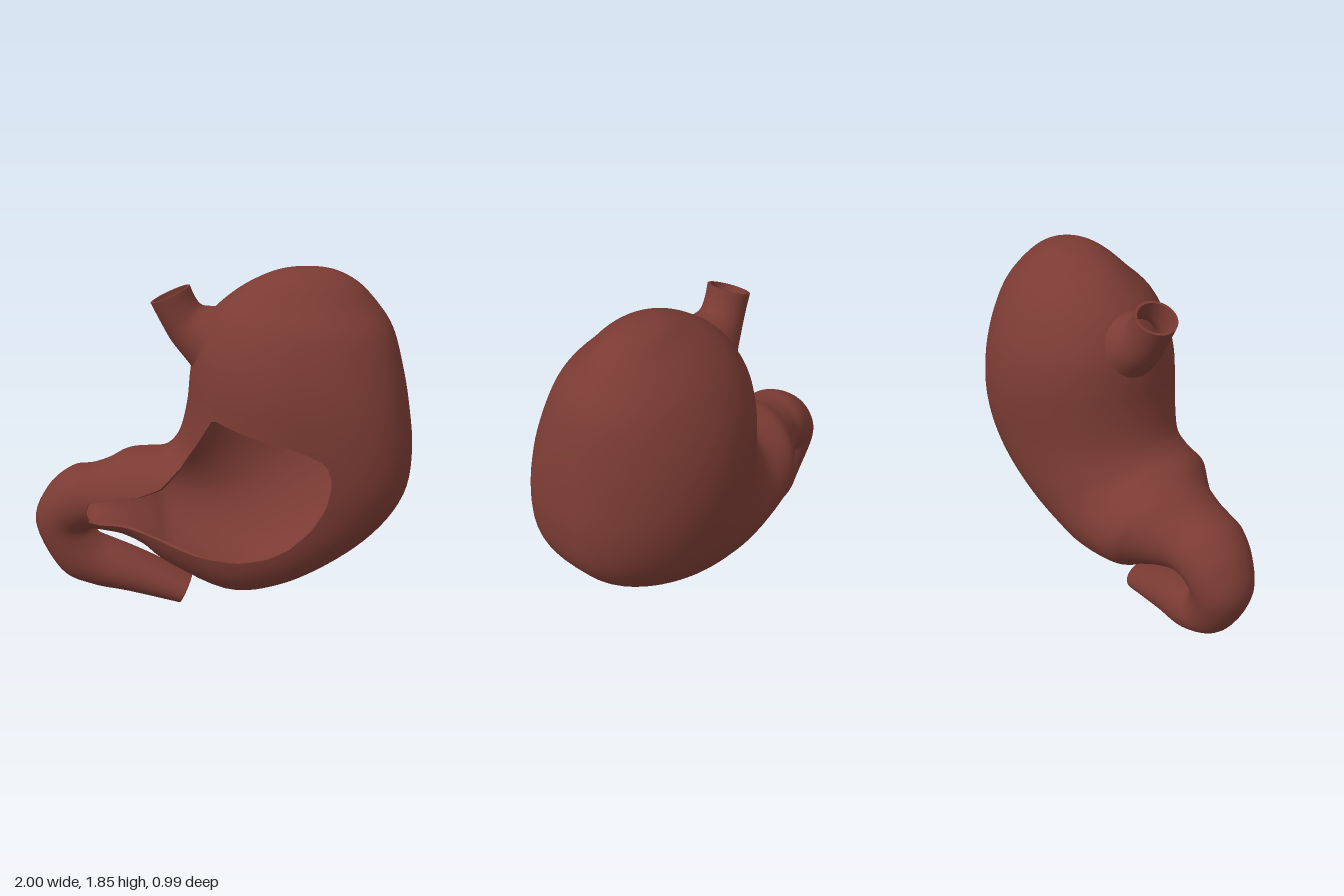
import * as THREE from 'three';

const AROUND = 72;   // points per cross-section
const STEPS = 5;     // rings per section
const WALL = 0.015;
const { clamp, smoothstep } = THREE.MathUtils;

// Each section: inner-curve x, y, back z, then outer-curve x, y, front z
const BODY = [
  [0.45, 1.860, 0.02, 0.452, 1.860, 0.024],
  [0.31, 1.845, -0.09, 0.58, 1.845, 0.11],
  [0.19, 1.80, -0.17, 0.70, 1.785, 0.19],
  [0.07, 1.725, -0.28, 0.80, 1.68, 0.275],
  [-0.04, 1.625, -0.37, 0.88, 1.56, 0.375],
  [-0.12, 1.48, -0.45, 0.935, 1.38, 0.445],
  [-0.15, 1.33, -0.49, 0.975, 1.18, 0.485],
  [-0.165, 1.18, -0.495, 1.0, 0.95, 0.495],
  [-0.19, 1.05, -0.475, 0.97, 0.73, 0.49],
  [-0.22, 0.97, -0.45, 0.83, 0.52, 0.475],
  [-0.255, 0.925, -0.42, 0.60, 0.34, 0.47],
  [-0.29, 0.90, -0.39, 0.35, 0.22, 0.47],
  [-0.34, 0.885, -0.37, 0.08, 0.175, 0.445],
  [-0.45, 0.865, -0.35, -0.25, 0.265, 0.315],
  [-0.52, 0.85, -0.30, -0.38, 0.345, 0.27],
  [-0.60, 0.81, -0.24, -0.50, 0.405, 0.25],
  [-0.69, 0.785, -0.19, -0.60, 0.43, 0.24],
  [-0.80, 0.765, -0.18, -0.66, 0.435, 0.225],
  [-0.93, 0.65, -0.17, -0.685, 0.43, 0.20],
  [-1.0, 0.45, -0.15, -0.69, 0.415, 0.17],
  [-0.87, 0.18, -0.13, -0.66, 0.38, 0.16],
  [-0.70, 0.09, -0.15, -0.60, 0.345, 0.15],
  [-0.50, 0.06, -0.13, -0.42, 0.275, 0.15],
  [-0.22, 0.01, -0.10, -0.15, 0.15, 0.15],
];

const INLET = [
  [-0.35, 1.67, -0.09, -0.15, 1.76, 0.13],
  [-0.30, 1.57, -0.095, -0.125, 1.70, 0.125],
  [-0.245, 1.47, -0.11, -0.085, 1.655, 0.13],
  [-0.165, 1.37, -0.15, 0.0, 1.65, 0.17],
  [-0.11, 1.30, -0.19, 0.06, 1.64, 0.21],
];

// Outline of the opening cut in the front wall
const WINDOW = [
  [-0.01, 1.15], [0.1, 1.12], [0.3, 1.075], [0.45, 1.04], [0.57, 0.97], [0.585, 0.86],
  [0.56, 0.74], [0.49, 0.62], [0.38, 0.51], [0.27, 0.455], [0.12, 0.43], [-0.1, 0.455],
  [-0.3, 0.49], [-0.5, 0.515], [-0.62, 0.51], [-0.68, 0.525], [-0.69, 0.58], [-0.67, 0.64],
  [-0.6, 0.655], [-0.5, 0.67], [-0.4, 0.70], [-0.28, 0.77], [-0.18, 0.87], [-0.1, 0.99],
];

// Signed distance to the opening: negative inside
function windowDistance(x, y) {
  let best = Infinity, inside = false;
  WINDOW.forEach(([ax, ay], i) => {
    const [bx, by] = WINDOW[(i + 1) % WINDOW.length];
    const dx = bx - ax, dy = by - ay;
    const t = clamp(((x - ax) * dx + (y - ay) * dy) / (dx * dx + dy * dy), 0, 1);
    best = Math.min(best, Math.hypot(x - ax - t * dx, y - ay - t * dy));
    if ((ay > y) !== (by > y) && x < ax + (dx * (y - ay)) / dy) inside = !inside;
  });
  return inside ? -best : best;
}

// Walled loft through the sections. power(row, front) shapes the outer
// quarters, fuller below 1; cut(p, front) below 0 removes surface
function walledLoft(sections, power, cut) {
  const curve = (k) => new THREE.CatmullRomCurve3(
    sections.map((s) => new THREE.Vector3(s[k], s[k + 1], s[k + 2])), false, 'catmullrom', 0.5);
  const innerCurve = curve(0), outerCurve = curve(3);
  const rows = (sections.length - 1) * STEPS;
  const points = [], keep = [], index = [];
  for (let i = 0; i <= rows; i++) {
    const a = innerCurve.getPoint(i / rows), b = outerCurve.getPoint(i / rows);
    for (let j = 0; j < AROUND; j++) {
      const angle = (j / AROUND) * Math.PI * 2;
      let c = Math.cos(angle), s = Math.sin(angle);
      if (c > 0) {
        const e = power(i / STEPS, s > 0);
        c **= e;
        s = Math.sign(s) * Math.abs(s) ** e;
      }
      const u = 0.5 + 0.5 * c, w = 0.5 + 0.5 * s;
      const p = new THREE.Vector3(a.x + (b.x - a.x) * u, a.y + (b.y - a.y) * u, a.z + (b.z - a.z) * w);
      points.push(p);
      keep.push(cut(p, s > 0));
    }
  }
  for (let i = 0; i < rows; i++) {
    for (let j = 0; j < AROUND; j++) {
      const k = (j + 1) % AROUND;
      const p = i * AROUND + j, q = i * AROUND + k, r = p + AROUND, s = q + AROUND;
      index.push(p, q, r, q, s, r);
    }
  }
  const skin = new THREE.BufferGeometry().setFromPoints(points);
  skin.setIndex(index);
  skin.computeVertexNormals();
  const vertices = points.map((p, i) => {
    const n = new THREE.Vector3().fromBufferAttribute(skin.attributes.normal, i);
    return { p, n, q: p.clone().addScaledVector(n, -WALL), f: keep[i] };
  });

  const position = [], normal = [];
  const emit = (ps, ns) => {
    ps.forEach((p) => position.push(p.x, p.y, p.z));
    ns.forEach((n) => normal.push(n.x, n.y, n.z));
  };
  // Edge face joining the outer and inner skins
  const rim = (v, w) => {
    const n = w.p.clone().sub(v.p).cross(v.q.clone().sub(v.p)).normalize();
    emit([v.p, w.p, w.q, v.p, w.q, v.q], Array(6).fill(n));
  };
  const crossing = (v, w) => {
    const t = v.f / (v.f - w.f);
    return { p: v.p.clone().lerp(w.p, t), q: v.q.clone().lerp(w.q, t), n: v.n.clone().lerp(w.n, t).normalize() };
  };
  for (let i = 0; i < index.length; i += 3) {
    const tri = [0, 1, 2].map((k) => vertices[index[i + k]]);
    const poly = [];
    let leave, enter;
    tri.forEach((v, k) => {
      const w = tri[(k + 1) % 3];
      if (v.f > 0) poly.push(v);
      if ((v.f > 0) !== (w.f > 0)) {
        const x = crossing(v, w);
        poly.push(x);
        if (v.f > 0) leave = x; else enter = x;
      }
    });
    for (let k = 1; k + 1 < poly.length; k++) {
      const [a, b, c] = [poly[0], poly[k], poly[k + 1]];
      emit([a.p, b.p, c.p], [a.n, b.n, c.n]);
      emit([a.q, c.q, b.q], [a, c, b].map((v) => v.n.clone().negate()));
    }
    if (leave) rim(enter, leave);
  }
  // Lips at the two ends
  for (let j = 0; j < AROUND; j++) {
    const k = (j + 1) % AROUND, end = rows * AROUND;
    rim(vertices[k], vertices[j]);
    rim(vertices[end + j], vertices[end + k]);
  }
  const geometry = new THREE.BufferGeometry();
  geometry.setAttribute('position', new THREE.Float32BufferAttribute(position, 3));
  geometry.setAttribute('normal', new THREE.Float32BufferAttribute(normal, 3));
  return geometry;
}

export function createModel() {
  const tissue = new THREE.MeshStandardMaterial({ color: 0x7a3b33, side: THREE.DoubleSide });
  tissue.name = 'reddish brown tissue';
  const model = new THREE.Group();
  model.name = 'stomach';
  const add = (name, geometry) => {
    const mesh = new THREE.Mesh(geometry, tissue);
    mesh.name = name;
    model.add(mesh);
  };

  // Stomach sac, fuller at its outer front and leaner at its outer back, running into the curved outlet
  add('stomachBodyAndOutlet', walledLoft(BODY,
    (row, front) => 1 + (front ? -0.36 : 0.12) * smoothstep(row, 1, 8) * (1 - smoothstep(row, 11, 15)),
    (p, front) => (front ? windowDistance(p.x, p.y) : 1)));

  // Flared inlet tube
  add('inletTube', walledLoft(INLET, () => 1, () => 1));

  return model;
}
